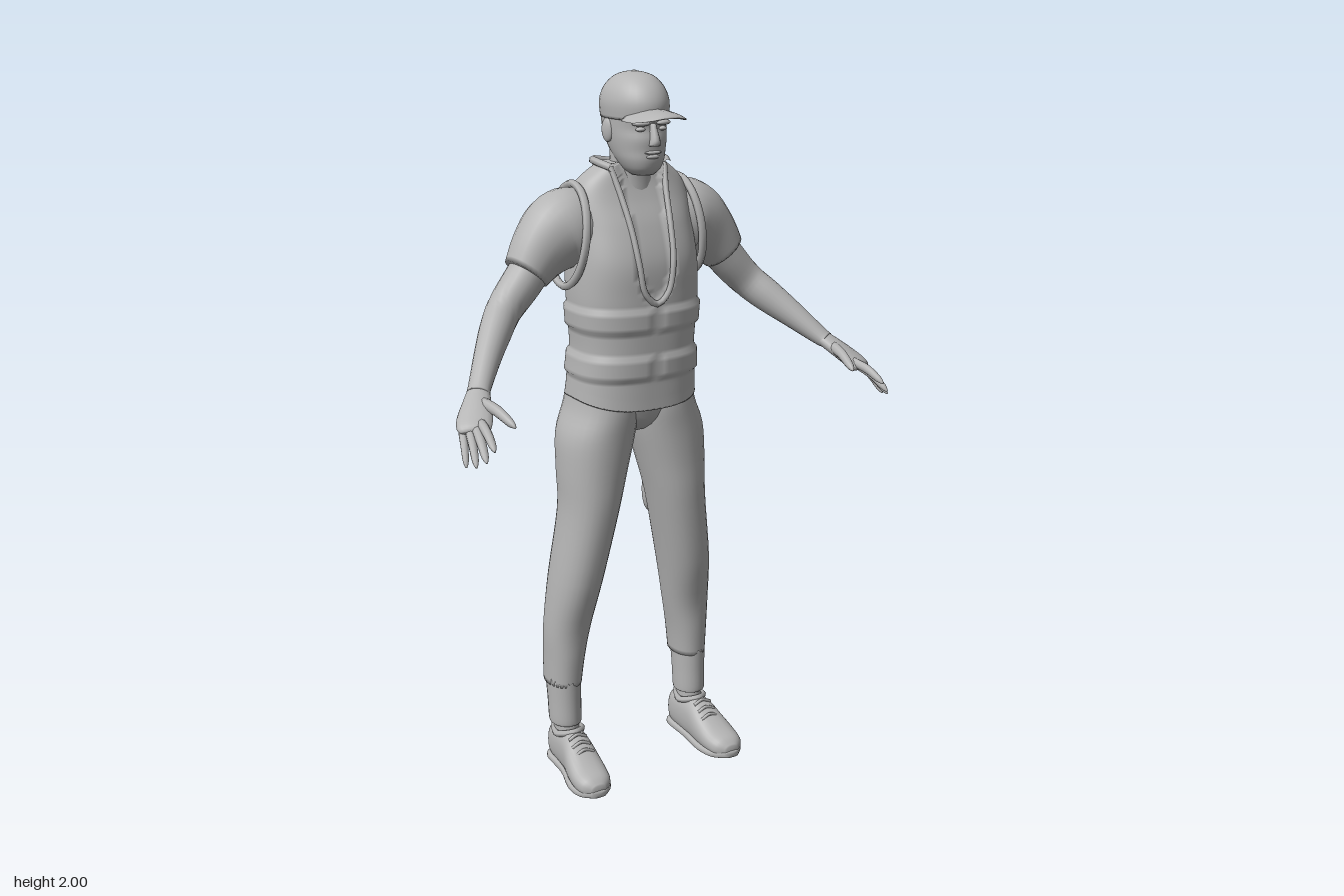
import * as THREE from 'three';

const V3 = (x, y, z) => new THREE.Vector3(x, y, z);
const X = V3(1, 0, 0), Y = V3(0, 1, 0), Z = V3(0, 0, 1);

// Smoothly refine a list of rings [x, y, z, ru, rv]
function refine(rings, sub = 4) {
  const out = [], last = rings.length - 1;
  const at = i => rings[Math.min(last, Math.max(0, i))];
  for (let i = 0; i < last; i++) for (let s = 0; s < sub; s++) {
    const t = s / sub;
    out.push(at(i).map((b, k) => {
      const a = at(i - 1)[k], c = at(i + 1)[k], d = at(i + 2)[k];
      return b + 0.5 * t * (c - a + t * (2 * a - 5 * b + 4 * c - d + t * (3 * (b - c) + d - a)));
    }));
  }
  out.push(rings[last]);
  return out;
}

// Skin of superellipse rings; axis fixes the ring plane, otherwise it follows the path
function loft(rings, { n = 24, sub = 4, p = 2, axis = null, ref = X, rule = null } = {}) {
  const R = refine(rings, sub), pos = [], idx = [];
  const c = i => V3(...R[Math.min(R.length - 1, Math.max(0, i))].slice(0, 3));
  const pw = v => Math.sign(v) * Math.abs(v) ** (2 / p);
  R.forEach((r, i) => {
    const T = axis ? axis.clone() : c(i + 1).sub(c(i - 1)).normalize();
    const U = ref.clone().addScaledVector(T, -ref.dot(T)).normalize();
    const W = T.clone().cross(U);
    for (let j = 0; j < n; j++) {
      const a = j / n * Math.PI * 2;
      const q = c(i).addScaledVector(U, r[3] * pw(Math.cos(a))).addScaledVector(W, r[4] * pw(Math.sin(a)));
      if (rule) rule(q, r);
      pos.push(q.x, q.y, q.z);
      if (i) {
        const k = (j + 1) % n, lo = (i - 1) * n, hi = i * n;
        idx.push(lo + j, lo + k, hi + k, lo + j, hi + k, hi + j);
      }
    }
  });
  const m = R.length, end = (m - 1) * n;
  for (const i of [0, m - 1]) {
    const q = c(i);
    if (rule) rule(q, R[i]);
    pos.push(q.x, q.y, q.z);
  }
  for (let j = 0; j < n; j++) {
    const k = (j + 1) % n;
    idx.push(m * n, k, j, m * n + 1, end + j, end + k);
  }
  const g = new THREE.BufferGeometry();
  g.setAttribute('position', new THREE.Float32BufferAttribute(pos, 3));
  g.setIndex(idx);
  g.computeVertexNormals();
  return g;
}

const tube = (pts, r, closed = false) =>
  new THREE.TubeGeometry(new THREE.CatmullRomCurve3(pts, closed), 48, r, 6, closed);

const blob = (x, y, z, a, b, c, rotY = 0) =>
  new THREE.SphereGeometry(1, 16, 12).scale(a, b, c).rotateY(rotY).translate(x, y, z);

// Horizontal ring given by its front and back
const band = (y, front, back, rx) => [0, y, (front + back) / 2, rx, (front - back) / 2];

export function createModel() {
  const group = new THREE.Group();
  const grey = new THREE.MeshStandardMaterial({ color: 0xb4b4b4 });
  const add = (name, geo) => {
    const m = new THREE.Mesh(geo, grey);
    m.name = name;
    group.add(m);
  };
  const pair = (name, geo) => {
    add(name + 'Left', geo);
    const g = geo.clone().scale(-1, 1, 1), a = g.index.array;
    for (let i = 0; i < a.length; i += 3) [a[i], a[i + 1]] = [a[i + 1], a[i]];
    add(name + 'Right', g);
  };

  // Vest with sunken shirt panels and raised pouch bands
  const P = 2.5;
  const torso = [
    band(1.13, 0.025, -0.265, 0.182), band(1.18, 0.025, -0.255, 0.178), band(1.26, 0.028, -0.245, 0.172),
    band(1.34, 0.03, -0.242, 0.177), band(1.42, 0.032, -0.245, 0.182), band(1.51, 0.03, -0.255, 0.18),
    band(1.6, 0.003, -0.258, 0.174), band(1.67, -0.03, -0.23, 0.17), band(1.72, -0.048, -0.195, 0.145),
    band(1.765, -0.055, -0.165, 0.088)];
  const dense = refine(torso, 8);
  const surfaceZ = (x, y, side) => {
    let i = dense.findIndex(r => r[1] >= y);
    if (i < 0) i = dense.length - 1;
    const r = dense[i];
    return r[2] + side * r[4] * Math.max(0, 1 - Math.abs(x / r[3]) ** P) ** (1 / P);
  };
  const openWidth = (y, low) => y < low ? 0 : 0.05 * Math.min(1, (y - low) / 0.07) ** 0.5 + 0.1 * Math.max(0, y - 1.55);
  add('vest', loft(torso, {
    n: 96, sub: 8, p: P, axis: Y, rule: (q, r) => {
      const front = q.z > r[2], dx = q.x / r[3], dz = (q.z - r[2]) / r[4];
      let off = 0;
      if (Math.abs(q.x) < openWidth(q.y, front ? 1.4 : 1.46)) off = -0.012;
      if ((q.y > 1.325 && q.y < 1.385) || (q.y > 1.19 && q.y < 1.25)) off = Math.abs(q.x) > 0.012 ? 0.008 : 0;
      q.x += dx * off;
      q.z += dz * off;
      if (q.y < 1.17) q.y -= 0.025 * dz * dz;
    }
  }));

  // Piping around the openings and arm holes
  for (const [name, side, low] of [['frontPiping', 1, 1.4], ['backPiping', -1, 1.46]]) {
    const half = [[0.082, 1.755], [0.07, 1.69], [0.06, 1.6], [0.052, 1.51], [0.035, low + 0.03]];
    const line = [...half, [0, low], ...half.slice().reverse().map(([x, y]) => [-x, y])];
    add(name, tube(line.map(([x, y]) => V3(x, y, surfaceZ(x, y, side))), 0.009));
  }
  const hole = [];
  for (let i = 0; i < 16; i++) {
    const a = i / 16 * Math.PI * 2;
    hole.push(V3(0.178 - 0.018 * Math.sin(a), 1.575 + 0.135 * Math.sin(a), -0.135 + 0.103 * Math.cos(a)));
  }
  pair('armholePiping', tube(hole, 0.011, true));
  pair('collarPiping', tube([V3(0.085, 1.755, -0.06), V3(0.1, 1.765, -0.11), V3(0.085, 1.765, -0.16), V3(0, 1.75, -0.18)], 0.011));

  // Head and neck
  add('neck', loft([[0, 1.66, -0.12, 0.075, 0.07], [0, 1.73, -0.11, 0.06, 0.06], [0, 1.82, -0.1, 0.058, 0.062]], { axis: Y }));
  add('head', loft([
    band(1.735, -0.015, -0.08, 0.028), band(1.75, 0.002, -0.11, 0.046), band(1.775, 0.01, -0.135, 0.06),
    band(1.8, 0.01, -0.16, 0.068), band(1.83, 0.012, -0.18, 0.074), band(1.86, 0.006, -0.19, 0.077),
    band(1.9, 0.015, -0.2, 0.078)], { axis: Y, p: 2.2, n: 32 }));
  add('nose', loft([[0, 1.815, 0.016, 0.015, 0.014], [0, 1.83, 0.018, 0.013, 0.016], [0, 1.872, 0.006, 0.007, 0.01]], { axis: Y, n: 12 }));
  add('upperLip', blob(0, 1.797, 0.008, 0.025, 0.005, 0.009));
  add('lowerLip', blob(0, 1.786, 0.007, 0.02, 0.006, 0.009));
  pair('brow', blob(0.034, 1.872, 0.004, 0.024, 0.007, 0.012, 0.3));
  pair('eye', blob(0.033, 1.857, 0, 0.013, 0.006, 0.01, 0.3));
  pair('ear', blob(0.077, 1.85, -0.095, 0.01, 0.032, 0.02, -0.3));

  // Cap
  add('capCrown', loft([
    band(1.88, 0.024, -0.203, 0.081), band(1.92, 0.026, -0.206, 0.084), band(1.955, 0.01, -0.19, 0.074),
    band(1.982, -0.02, -0.158, 0.052), band(1.994, -0.055, -0.125, 0.025), band(1.997, -0.085, -0.095, 0.003)],
    { axis: Y, n: 32 }));
  add('capButton', blob(0, 1.995, -0.09, 0.008, 0.005, 0.008));
  add('capBrim', loft([
    [0, 1.905, -0.02, 0.08, 0.006], [0, 1.903, 0.03, 0.078, 0.006], [0, 1.9, 0.07, 0.064, 0.006],
    [0, 1.896, 0.092, 0.042, 0.005], [0, 1.894, 0.101, 0.012, 0.002]],
    { axis: Z, rule: q => { q.y -= 4 * q.x * q.x; } }));

  // Sleeves and arms
  pair('sleeve', loft([
    [0.1, 1.59, -0.14, 0.09, 0.08], [0.17, 1.59, -0.14, 0.112, 0.098], [0.215, 1.577, -0.14, 0.105, 0.093],
    [0.265, 1.537, -0.135, 0.084, 0.076], [0.308, 1.486, -0.128, 0.064, 0.062], [0.305, 1.49, -0.128, 0.05, 0.05]].slice(0, 5),
    { ref: Y }));
  pair('arm', loft([
    [0.26, 1.54, -0.13, 0.055, 0.055], [0.32, 1.465, -0.127, 0.054, 0.054], [0.38, 1.4, -0.115, 0.049, 0.047],
    [0.425, 1.355, -0.075, 0.046, 0.043], [0.475, 1.305, -0.02, 0.037, 0.036],
    [0.525, 1.252, 0.04, 0.026, 0.03], [0.54, 1.238, 0.06, 0.022, 0.03]], { ref: Y, n: 20 }));
  pair('palm', loft([
    [0.53, 1.248, 0.045, 0.02, 0.027], [0.555, 1.222, 0.085, 0.02, 0.037], [0.578, 1.197, 0.122, 0.018, 0.045],
    [0.594, 1.178, 0.15, 0.015, 0.042], [0.598, 1.172, 0.158, 0.006, 0.03]], { ref: Y, n: 16 }));
  // Fingers: base, tip, thickness
  [
    [[0.543, 1.225, 0.09], [0.515, 1.19, 0.222], 0.014],
    [[0.572, 1.19, 0.145], [0.59, 1.152, 0.262], 0.012],
    [[0.587, 1.18, 0.148], [0.61, 1.125, 0.257], 0.012],
    [[0.602, 1.173, 0.143], [0.628, 1.11, 0.236], 0.011],
    [[0.615, 1.168, 0.13], [0.639, 1.102, 0.2], 0.01]
  ].forEach(([a, b, r], i) => {
    const mix = (t, s, lift) => [0, 1, 2].map(k => a[k] + (b[k] - a[k]) * t + (k === 1 ? lift : 0)).concat(r * s, r * s);
    pair(i ? 'finger' + i : 'thumb', loft([mix(0, 1.1, 0), mix(0.45, 1, 0.008), mix(0.85, 0.75, 0.003), mix(1, 0.2, 0)],
      { ref: Y, n: 10, sub: 3 }));
  });

  // Trousers and cuffs
  pair('trouserLeg', loft([
    [0.211, 0.27, -0.153, 0.05, 0.068], [0.207, 0.35, -0.15, 0.056, 0.071], [0.198, 0.45, -0.143, 0.066, 0.073],
    [0.177, 0.6, -0.126, 0.073, 0.092], [0.142, 0.8, -0.111, 0.081, 0.1], [0.126, 0.92, -0.116, 0.096, 0.109],
    [0.11, 1.02, -0.123, 0.106, 0.12], [0.09, 1.1, -0.125, 0.095, 0.127], [0.085, 1.18, -0.12, 0.085, 0.12]],
    { axis: Y, n: 28, p: 2.15 }));
  add('trouserSeat', blob(0, 1.12, -0.12, 0.16, 0.11, 0.115));
  pair('thighPatch', blob(0.105, 0.79, -0.195, 0.022, 0.068, 0.02, 0.35));
  pair('cuff', loft([
    [0.211, 0.145, -0.138, 0.043, 0.05], [0.212, 0.155, -0.138, 0.046, 0.054], [0.212, 0.22, -0.142, 0.047, 0.057],
    [0.212, 0.29, -0.147, 0.049, 0.063]], { axis: Y }));

  // Ankles and shoes
  pair('ankle', loft([[0.21, 0.06, -0.13, 0.036, 0.045], [0.211, 0.17, -0.138, 0.035, 0.042]], { axis: Y }));
  const ground = q => { q.y = Math.max(0.004, q.y); };
  pair('shoe', loft([
    [0.208, 0.06, -0.203, 0.022, 0.035], [0.208, 0.064, -0.185, 0.038, 0.06], [0.209, 0.066, -0.12, 0.042, 0.066],
    [0.212, 0.064, -0.07, 0.046, 0.066], [0.217, 0.05, -0.02, 0.053, 0.052], [0.221, 0.038, 0.03, 0.055, 0.037],
    [0.223, 0.032, 0.07, 0.046, 0.03], [0.224, 0.028, 0.092, 0.02, 0.015]], { axis: Z, p: 2.4, rule: ground }));
  pair('sole', loft([
    [0.208, 0.012, -0.206, 0.025, 0.012], [0.208, 0.012, -0.185, 0.042, 0.012], [0.21, 0.012, -0.09, 0.045, 0.012],
    [0.218, 0.012, 0, 0.06, 0.012], [0.222, 0.014, 0.06, 0.052, 0.012], [0.224, 0.018, 0.096, 0.02, 0.01]],
    { axis: Z, p: 4 }));
  pair('shoeCollar', tube([V3(0.21, 0.13, -0.08), V3(0.25, 0.118, -0.12), V3(0.21, 0.125, -0.19), V3(0.17, 0.118, -0.12)], 0.01, true));
  for (let i = 0; i < 3; i++) {
    const z = -0.06 + i * 0.022, y = 0.131 - i * 0.014;
    pair('lace' + (i + 1), tube([V3(0.185, y - 0.012, z), V3(0.213, y, z), V3(0.242, y - 0.012, z)], 0.005));
  }
  return group;
}
